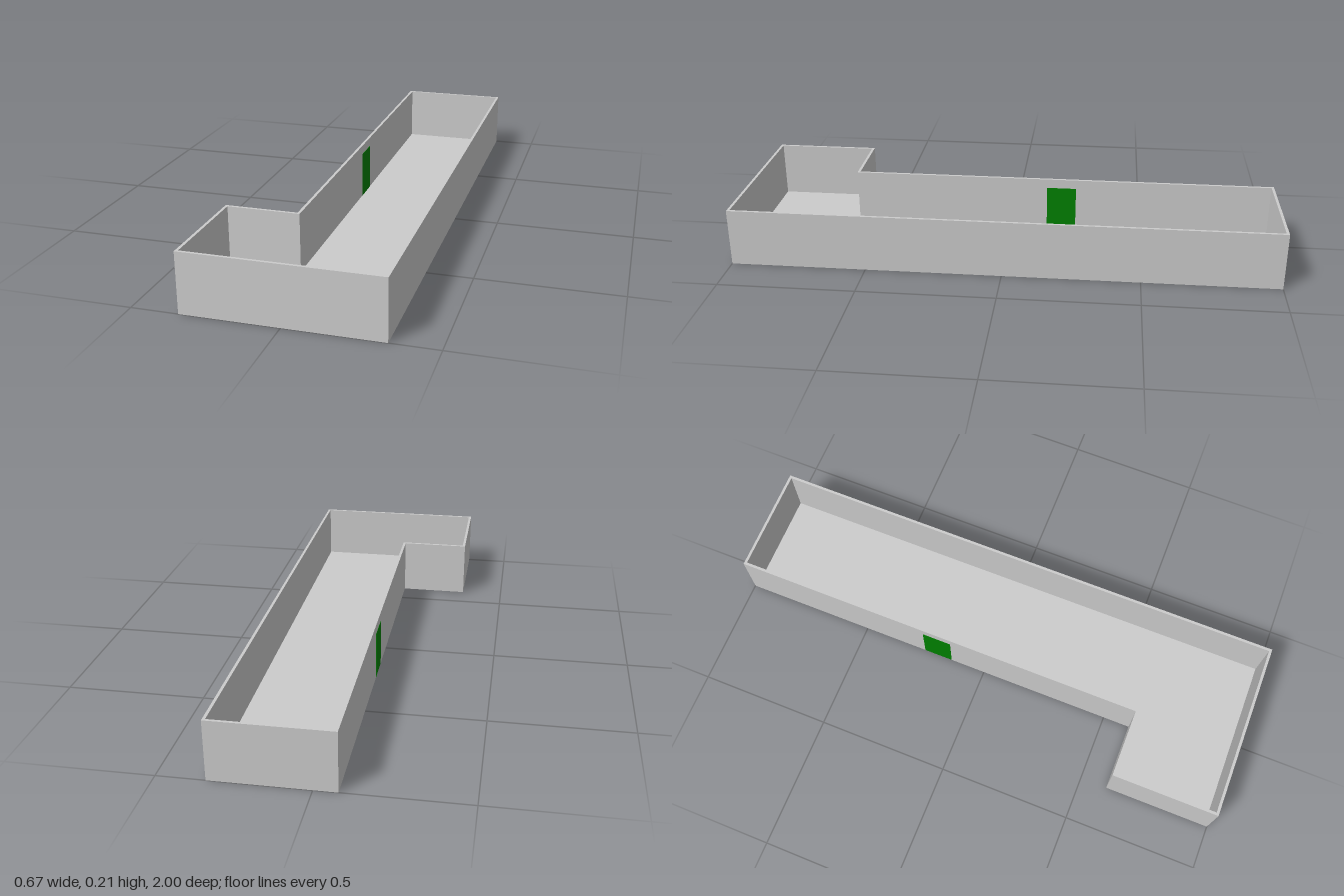
import * as THREE from 'three';

const HEIGHT = 0.213, WALL = 0.01, FLOOR = 0.003;

// L-shaped plan outline in x and z, moved inward by d
function outline(d) {
  return [
    [-0.337 + d, 1 - d], [0.337 - d, 1 - d], [0.337 - d, -1 + d],
    [-0.08 + d, -1 + d], [-0.08 + d, 0.602 + d], [-0.337 + d, 0.602 + d],
  ].map(([x, z]) => new THREE.Vector2(x, -z));
}

// Extrude a plan shape upward from y0
function raise(shape, height, y0) {
  const geometry = new THREE.ExtrudeGeometry(shape, { depth: height, bevelEnabled: false });
  return geometry.rotateX(-Math.PI / 2).translate(0, y0, 0);
}

export function createModel() {
  const model = new THREE.Group();
  model.name = 'rooflessBuilding';
  const grey = new THREE.MeshStandardMaterial({ color: 0xcccccc });
  const green = new THREE.MeshStandardMaterial({ color: 0x008000 });

  const add = (name, geometry, material) => {
    const mesh = new THREE.Mesh(geometry, material);
    mesh.name = name;
    model.add(mesh);
    return mesh;
  };

  // Thin floor slab
  add('floor', raise(new THREE.Shape(outline(0)), FLOOR, 0), grey);

  // Continuous wall around the plan
  const ring = new THREE.Shape(outline(0));
  ring.holes.push(new THREE.Path(outline(WALL)));
  add('walls', raise(ring, HEIGHT - FLOOR, FLOOR), grey);

  // Door through the long wall, just proud of both faces
  const doorHeight = 0.175;
  add('door', new THREE.BoxGeometry(WALL + 0.002, doorHeight, 0.112), green)
    .position.set(-0.08 + WALL / 2, FLOOR + doorHeight / 2, -0.193);

  return model;
}
